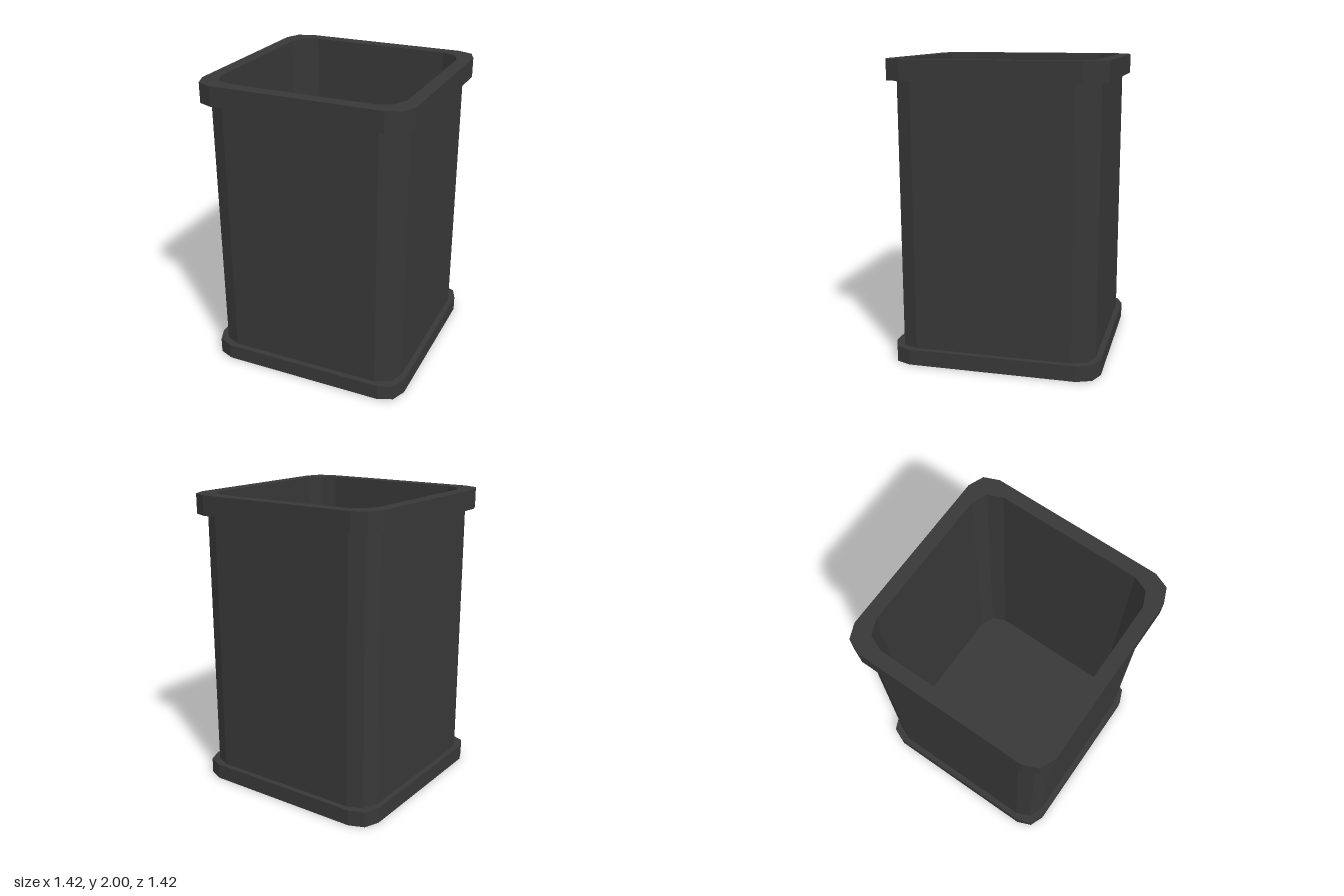
import * as THREE from 'three';

const RADIUS = 0.14;
const STEPS = 2; // facets per corner

// Corner points of a square with faceted round corners
function roundedSquare(half) {
  const points = [];
  const c = half - RADIUS;
  for (let corner = 0; corner < 4; corner++) {
    const mid = Math.PI / 4 + corner * Math.PI / 2;
    const cx = c * Math.SQRT2 * Math.cos(mid);
    const cy = c * Math.SQRT2 * Math.sin(mid);
    for (let i = 0; i <= STEPS; i++) {
      const a = (corner + i / STEPS) * Math.PI / 2;
      points.push(new THREE.Vector2(cx + RADIUS * Math.cos(a), cy + RADIUS * Math.sin(a)));
    }
  }
  return points;
}

export function createModel() {
  const group = new THREE.Group();
  group.name = 'squareContainer';
  const material = new THREE.MeshStandardMaterial({ color: 0x383838, flatShading: true });

  // Upright slab, hollow when an inner half-width is given
  function addSlab(name, y0, y1, outer, inner) {
    const shape = new THREE.Shape(roundedSquare(outer));
    if (inner) shape.holes.push(new THREE.Path(roundedSquare(inner)));
    const geometry = new THREE.ExtrudeGeometry(shape, { depth: y1 - y0, bevelEnabled: false });
    geometry.rotateX(-Math.PI / 2);
    const mesh = new THREE.Mesh(geometry, material);
    mesh.name = name;
    mesh.position.y = y0;
    group.add(mesh);
  }

  // Solid base, hollow walls and overhanging rim
  addSlab('base', 0, 0.105, 0.698);
  addSlab('walls', 0.105, 1.868, 0.66, 0.62);
  addSlab('rim', 1.868, 2, 0.71, 0.62);

  return group;
}
